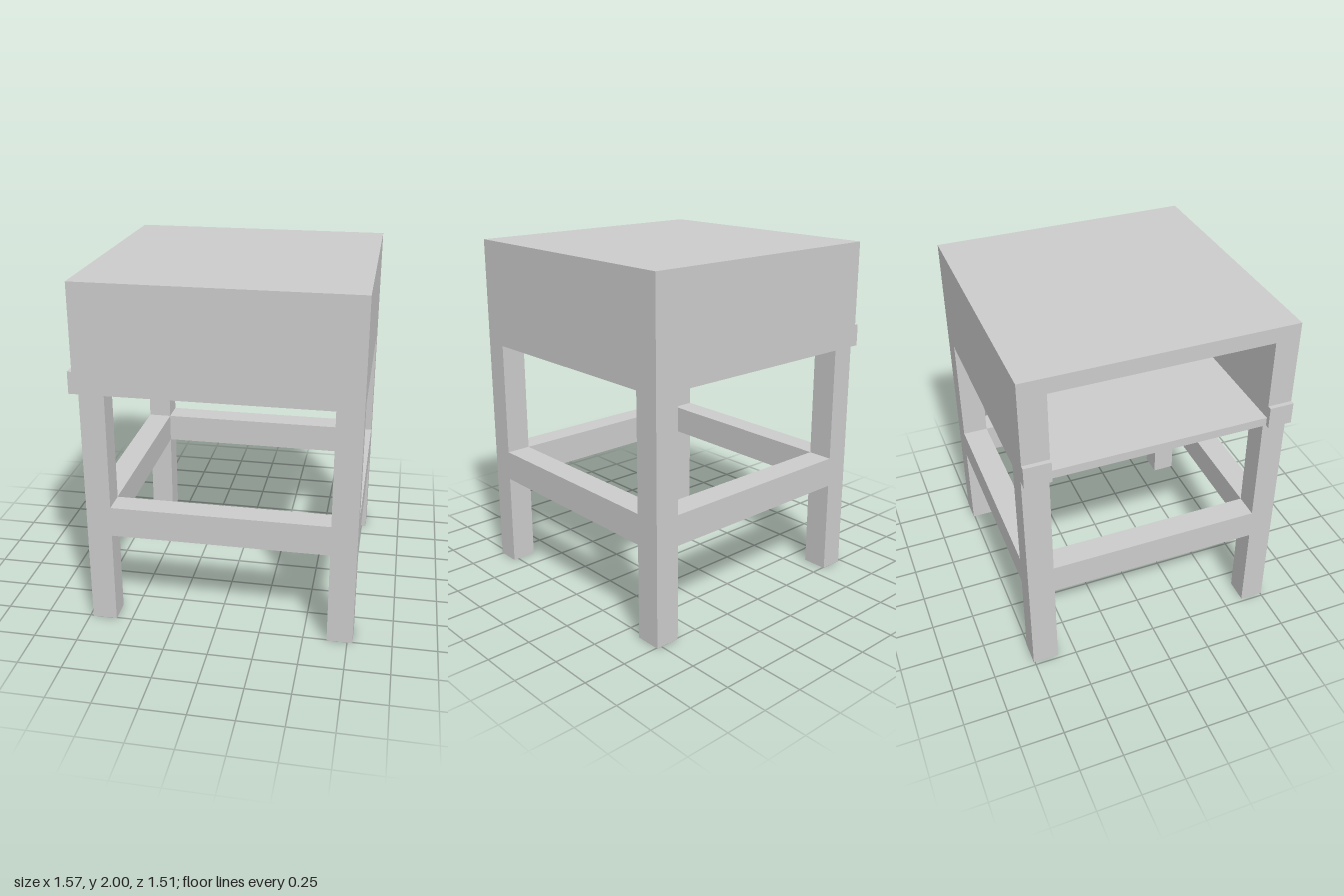
import * as THREE from 'three';

export function createModel() {
  const group = new THREE.Group();
  const material = new THREE.MeshStandardMaterial({ color: 0xcccccc, flatShading: true });

  // Box given by its lower and upper limits on each axis
  function box(name, [x0, x1], [y0, y1], [z0, z1]) {
    const mesh = new THREE.Mesh(new THREE.BoxGeometry(x1 - x0, y1 - y0, z1 - z0), material);
    mesh.position.set((x0 + x1) / 2, (y0 + y1) / 2, (z0 + z1) / 2);
    mesh.name = name;
    group.add(mesh);
  }

  const openX = [-0.73, -0.59];
  const closedX = [0.635, 0.78];
  const sides = [
    { side: 'front', z: [0.618, 0.757] },
    { side: 'back', z: [-0.757, -0.607] },
  ];
  const between = { x: [-0.59, 0.635], z: [-0.607, 0.618] };
  const bar = [0.55, 0.725];

  for (const { side, z } of sides) {
    // Legs, stretcher, case wall and the stop at the open end
    box(side + 'RightLeg', openX, [0, 1.39], z);
    box(side + 'LeftLeg', closedX, [0, 1.39], z);
    box(side + 'Stretcher', between.x, bar, z);
    box(side + 'Wall', [-0.76, 0.78], [1.39, 1.91], z);
    box(side + 'Stop', [-0.785, -0.76], [1.39, 1.515], z);
  }

  // Side stretchers
  box('rightStretcher', openX, bar, between.z);
  box('leftStretcher', closedX, bar, between.z);

  // Case: closed end, sill under the open end, recessed floor and top
  box('leftWall', closedX, [1.39, 1.91], between.z);
  box('openingSill', [-0.76, -0.59], [1.39, 1.44], between.z);
  box('compartmentFloor', between.x, [1.42, 1.44], between.z);
  box('top', [-0.76, 0.78], [1.91, 2], [-0.757, 0.757]);

  return group;
}
